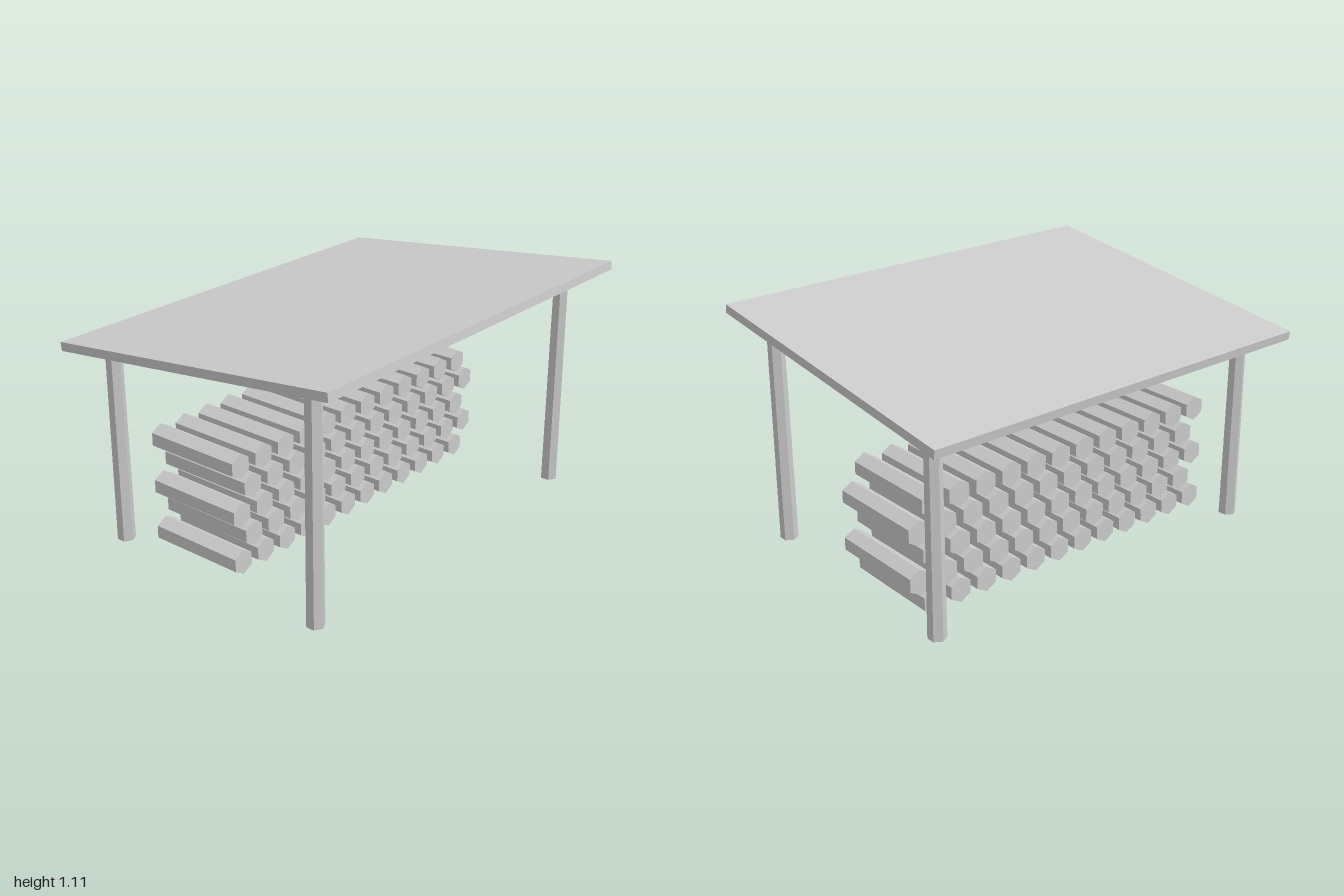
import * as THREE from 'three';

export function createModel() {
  const group = new THREE.Group();
  const material = new THREE.MeshStandardMaterial({ color: 0xcccccc, flatShading: true });

  const add = (geometry, name, x, y, z, parent = group) => {
    const mesh = new THREE.Mesh(geometry, material);
    mesh.name = name;
    mesh.position.set(x, y, z);
    parent.add(mesh);
    return mesh;
  };

  // Lean-to roof slab, higher at the front
  const roof = add(new THREE.BoxGeometry(2, 0.04, 1.505), 'roof', 0, 1.0025, 0);
  roof.rotation.x = -0.117;

  // Tapered hexagonal posts
  for (const [name, height, z] of [['frontPost', 1.046, 0.565], ['backPost', 0.871, -0.563]]) {
    const post = new THREE.CylinderGeometry(0.037, 0.041, height, 6);
    for (const side of [1, -1]) {
      add(post, (side > 0 ? 'left' : 'right') + name[0].toUpperCase() + name.slice(1), side * 0.87, height / 2, z);
    }
  }

  // Stacked firewood: five rows, every second one shifted by half a step
  const woodpile = new THREE.Group();
  woodpile.name = 'woodpile';
  group.add(woodpile);
  const log = new THREE.CylinderGeometry(0.057, 0.059, 0.478, 6).rotateX(Math.PI / 2);
  const step = 0.1394;
  for (let row = 0; row < 5; row++) {
    for (let i = 0; i < 12; i++) {
      const x = -0.767 + (i + (row % 2) / 2) * step;
      add(log, 'log', x, 0.061 + row * 0.1133, -0.171, woodpile);
    }
  }

  return group;
}
